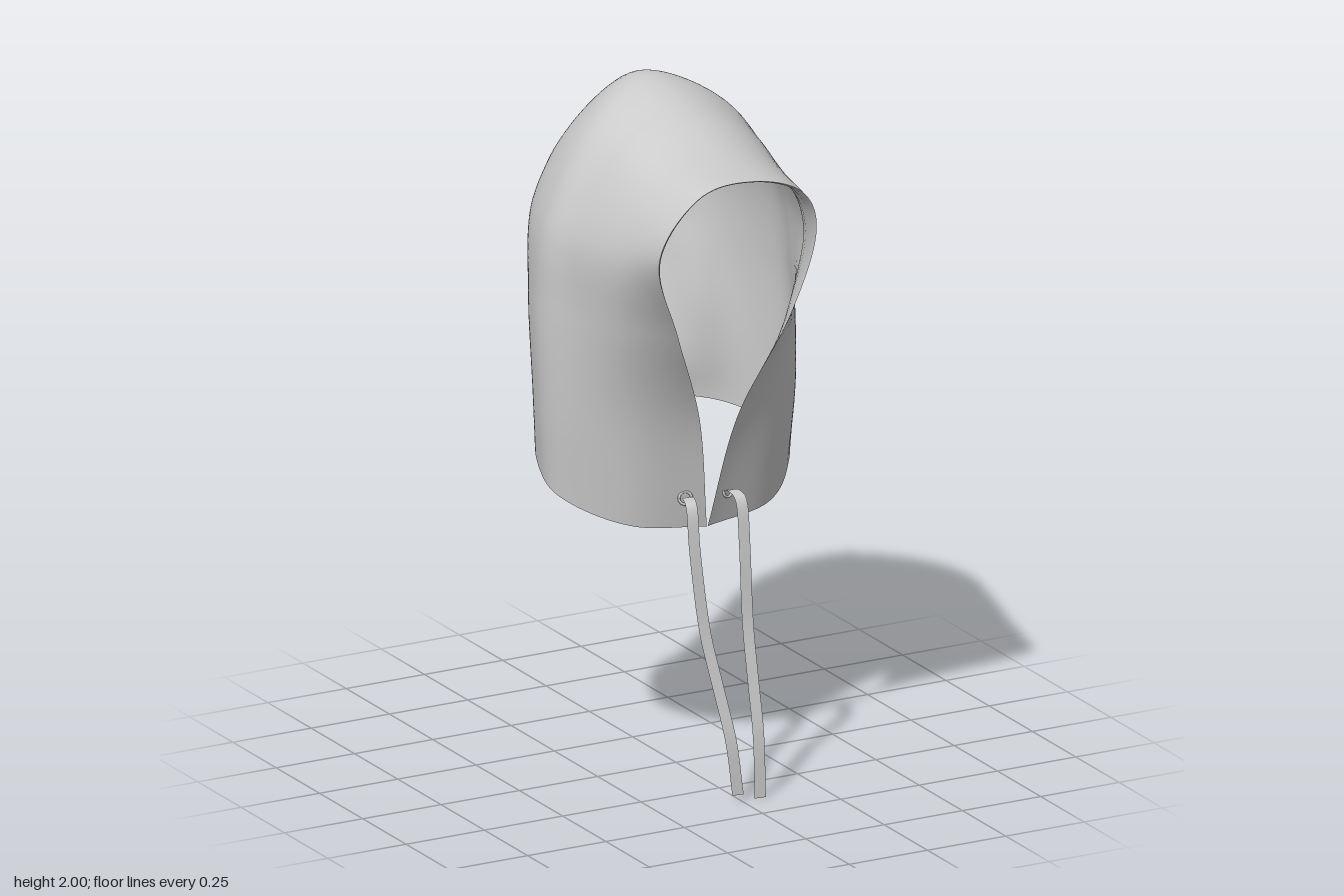
import * as THREE from 'three';
import { mergeVertices } from 'three/addons/utils/BufferGeometryUtils.js';

const V = (p) => new THREE.Vector3(...p);
const spline = (pts) => new THREE.CatmullRomCurve3(pts, false, 'catmullrom', 0.5);
const smooth = THREE.MathUtils.smoothstep;

// Arched cross-sections, each from right hem over the top to left hem
const rim = [[-0.015, 0.762, 0.205], [-0.07, 1.1, 0.265], [-0.2, 1.4, 0.375], [-0.31, 1.67, 0.465], [-0.2, 1.85, 0.5],
  [-0.03, 1.875, 0.51], [0.12, 1.82, 0.52], [0.182, 1.67, 0.48], [0.15, 1.4, 0.38], [0.045, 1.1, 0.275], [-0.012, 0.762, 0.205]];
const brow = [[-0.21, 0.775, 0.145], [-0.25, 1.1, 0.185], [-0.315, 1.4, 0.235], [-0.335, 1.65, 0.28], [-0.22, 1.85, 0.28],
  [-0.02, 1.9, 0.28], [0.16, 1.83, 0.28], [0.25, 1.65, 0.28], [0.255, 1.4, 0.22], [0.24, 1.1, 0.19], [0.21, 0.775, 0.145]];
const temple = [[-0.335, 0.82, 0.02], [-0.36, 1.1, 0.04], [-0.37, 1.4, 0.06], [-0.355, 1.65, 0.07], [-0.22, 1.88, 0.07],
  [-0.01, 1.955, 0.07], [0.19, 1.87, 0.07], [0.31, 1.65, 0.07], [0.34, 1.4, 0.06], [0.355, 1.1, 0.05], [0.345, 0.82, 0.02]];
const ear = [[-0.37, 0.875, -0.1], [-0.385, 1.1, -0.1], [-0.395, 1.4, -0.1], [-0.365, 1.65, -0.1], [-0.22, 1.89, -0.11],
  [-0.01, 1.995, -0.13], [0.21, 1.89, -0.11], [0.33, 1.65, -0.1], [0.375, 1.4, -0.1], [0.39, 1.1, -0.1], [0.392, 0.885, -0.1]];
const nape = [[-0.27, 0.94, -0.29], [-0.28, 1.1, -0.28], [-0.285, 1.4, -0.31], [-0.265, 1.62, -0.335], [-0.165, 1.83, -0.3],
  [0, 1.965, -0.25], [0.18, 1.83, -0.31], [0.24, 1.62, -0.335], [0.265, 1.4, -0.31], [0.28, 1.1, -0.28], [0.28, 0.94, -0.29]];
const seamHalf = [[0, 0.97, -0.36], [0, 1.1, -0.375], [0, 1.4, -0.49], [0.01, 1.6, -0.52], [0.03, 1.78, -0.47], [0.025, 1.87, -0.385]];
const seam = [...seamHalf, ...seamHalf.slice(0, 5).reverse()];
const arches = [rim, brow, temple, ear, nape, seam].map((s) => spline(s.map(V)));

// Path round the head: right rim, back seam, then the opposite side to the left rim
function wrapPath(u) {
  const near = arches.map((a) => a.getPoint(u));
  const far = arches.slice(0, 5).reverse().map((a) => a.getPoint(1 - u));
  return spline([...near, ...far]);
}

// Soft creases in the cloth: wrinkles high on the back, a dart each side of the nape
function addFolds(p) {
  const back = smooth(-p.z, 0.2, 0.48) * smooth(p.y, 1.3, 1.5) * (1 - smooth(p.y, 1.72, 1.88));
  const angle = Math.atan2(Math.abs(p.x), -p.z);
  const dart = Math.exp(-(((angle - 0.68 + (p.y - 1.2) * 0.4) / 0.19) ** 2)) * smooth(-p.z, 0, 0.25);
  const wrinkle = Math.sin(38 * p.y + 12 * p.x) * (0.6 + 0.4 * Math.sin(14 * p.x + 9 * p.y));
  const f = 0.012 * back * wrinkle - 0.055 * dart * smooth(p.y, 0.95, 1.25) * (1 - smooth(p.y, 1.25, 1.6));
  p.x *= 1 + f;
  p.z *= 1 + f;
  return p;
}

// Surface from rows of points
function sheet(rows) {
  const n = rows[0].length, index = [];
  for (let i = 0; i < rows.length - 1; i++)
    for (let j = 0; j < n - 1; j++) {
      const a = i * n + j, b = a + n;
      index.push(a, a + 1, b, b, a + 1, b + 1);
    }
  let g = new THREE.BufferGeometry().setFromPoints(rows.flat());
  g.setIndex(index);
  g = mergeVertices(g, 1e-5);
  g.computeVertexNormals();
  return g;
}

export function createModel() {
  const group = new THREE.Group();
  const cloth = new THREE.MeshStandardMaterial({ color: 0xcccccc, side: THREE.DoubleSide });
  const add = (name, geometry) => {
    const mesh = new THREE.Mesh(geometry, cloth);
    mesh.name = name;
    group.add(mesh);
    return mesh;
  };

  // Hood shell and the folded band inside its opening
  const shell = [], facing = [];
  const NU = 96, NT = 64;
  for (let i = 0; i <= NU; i++) {
    const path = wrapPath(i / NU);
    const row = [];
    for (let j = 0; j <= NT; j++) row.push(addFolds(path.getPoint((0.5 * j) / NT)));
    shell.push(row);
    const inset = (t, k) => {
      const p = path.getPoint(t);
      return p.set(p.x * k, 1.3 + (p.y - 1.3) * (1 - (1 - k) * 0.4), p.z);
    };
    facing.push([row[0].clone(), inset(0.005, 0.97), inset(0.02, 0.94), inset(0.045, 0.93), inset(0.07, 0.95)]);
  }
  add('hood', sheet(shell));
  add('openingFacing', sheet(facing));

  // Flat drawstrings with their eyelets
  const cords = {
    right: [[-0.085, 0.855, 0.2], [-0.09, 0.865, 0.235], [-0.1, 0.84, 0.275], [-0.1, 0.72, 0.292], [-0.08, 0.5, 0.31],
      [-0.055, 0.34, 0.34], [-0.03, 0.18, 0.372], [-0.012, 0.02, 0.38]],
    left: [[0.05, 0.855, 0.2], [0.055, 0.865, 0.235], [0.058, 0.84, 0.275], [0.058, 0.72, 0.292], [0.058, 0.5, 0.31],
      [0.058, 0.34, 0.34], [0.058, 0.18, 0.372], [0.059, 0, 0.38]],
  };
  for (const [side, pts] of Object.entries(cords)) {
    const rows = spline(pts.map(V)).getPoints(48).map((p) =>
      [-0.017, 0.017].map((w) => p.clone().add(new THREE.Vector3(w, 0, w * 0.1))));
    add(side + 'Drawstring', sheet(rows));
    const eyelet = add(side + 'Eyelet', new THREE.TorusGeometry(0.018, 0.004, 8, 24));
    eyelet.position.set(pts[0][0], 0.858, 0.208);
    eyelet.rotation.set(-0.2, side === 'left' ? 0.35 : -0.35, 0);
  }
  return group;
}
